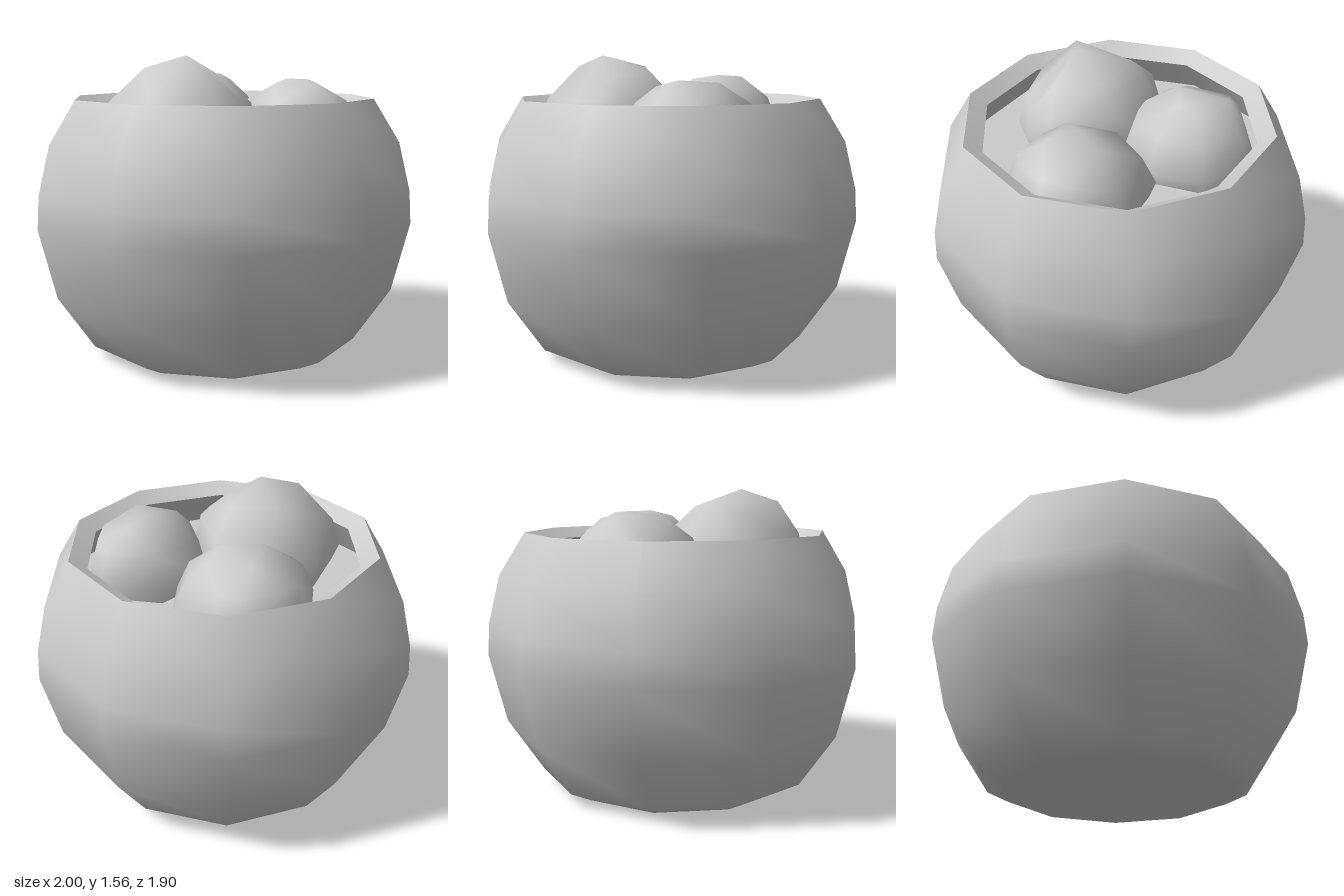
import * as THREE from 'three';
import { ConvexGeometry } from 'three/addons/geometries/ConvexGeometry.js';

const material = new THREE.MeshStandardMaterial({ color: 0xcccccc });

function addMesh(group, name, geometry) {
  const mesh = new THREE.Mesh(geometry, material);
  mesh.name = name;
  group.add(mesh);
}

// Ten-sided turned surface with corners on the x axis
function turned(profile) {
  const points = profile.map(([r, y]) => new THREE.Vector2(r, y));
  return new THREE.LatheGeometry(points, 10, Math.PI / 2);
}

// Faceted lump: crown points over an outline [x, z], tapering below, with smooth radial normals
function lump(crown, outline, shoulder) {
  const cx = outline.reduce((s, p) => s + p[0], 0) / outline.length;
  const cz = outline.reduce((s, p) => s + p[1], 0) / outline.length;
  const center = new THREE.Vector3(cx, 1.14, cz);
  const points = crown.map((p) => new THREE.Vector3(...p));
  for (const [y, s] of [[1.33, shoulder], [1.18, 1], [0.92, 0.75]]) {
    for (const [x, z] of outline) {
      points.push(new THREE.Vector3(cx + (x - cx) * s, y, cz + (z - cz) * s));
    }
  }
  const geometry = new ConvexGeometry(points);
  const position = geometry.attributes.position;
  const normal = geometry.attributes.normal;
  const v = new THREE.Vector3();
  for (let i = 0; i < position.count; i++) {
    v.fromBufferAttribute(position, i).sub(center).normalize();
    normal.setXYZ(i, v.x, v.y, v.z);
  }
  return geometry;
}

export function createModel() {
  const group = new THREE.Group();
  group.name = 'filledBowl';

  // Bowl: rounded outside, bevelled lip, overhanging inner wall and the filling level
  addMesh(group, 'bowlOuter', turned([
    [0, 0], [0.6, 0], [0.72, 0.06], [0.91, 0.34], [1, 0.7], [0.99, 0.87], [0.93, 1.12], [0.795, 1.34],
  ]));
  addMesh(group, 'bowlLip', turned([[0.795, 1.34], [0.705, 1.285]]));
  addMesh(group, 'bowlInnerWall', turned([[0.705, 1.285], [0.82, 1.1]]));
  addMesh(group, 'filling', turned([[0.82, 1.1], [0, 1.1]]));

  // Three round pieces resting in the filling
  addMesh(group, 'leftBackPiece', lump(
    [[0.28, 1.44, -0.2], [0.45, 1.43, -0.22], [0.25, 1.43, -0.4], [0.3, 1.41, -0.08]],
    [[-0.04, -0.4], [0.2, -0.62], [0.3, -0.61], [0.42, -0.54], [0.57, -0.41],
      [0.63, -0.2], [0.62, -0.1], [0.41, 0.05], [0.28, 0.06], [0, -0.1]],
    0.82));
  addMesh(group, 'rightBackPiece', lump(
    [[-0.5, 1.44, -0.22], [-0.24, 1.455, -0.2], [-0.32, 1.43, 0], [-0.3, 1.42, -0.33]],
    [[-0.51, -0.44], [-0.24, -0.49], [-0.03, -0.31], [0.02, -0.1], [-0.1, 0.12],
      [-0.35, 0.21], [-0.47, 0.2], [-0.67, 0], [-0.67, -0.12], [-0.6, -0.33]],
    0.82));
  addMesh(group, 'frontPiece', lump(
    [[0.11, 1.56, 0.33], [-0.16, 1.5, 0.22], [0.03, 1.5, 0.53], [0.05, 1.47, 0.09], [0.26, 1.44, 0.22]],
    [[0, -0.09], [-0.28, 0.06], [-0.37, 0.33], [-0.17, 0.66], [0.2, 0.67],
      [0.42, 0.36], [0.43, 0.2], [0.36, 0.08]],
    0.9));
  return group;
}
